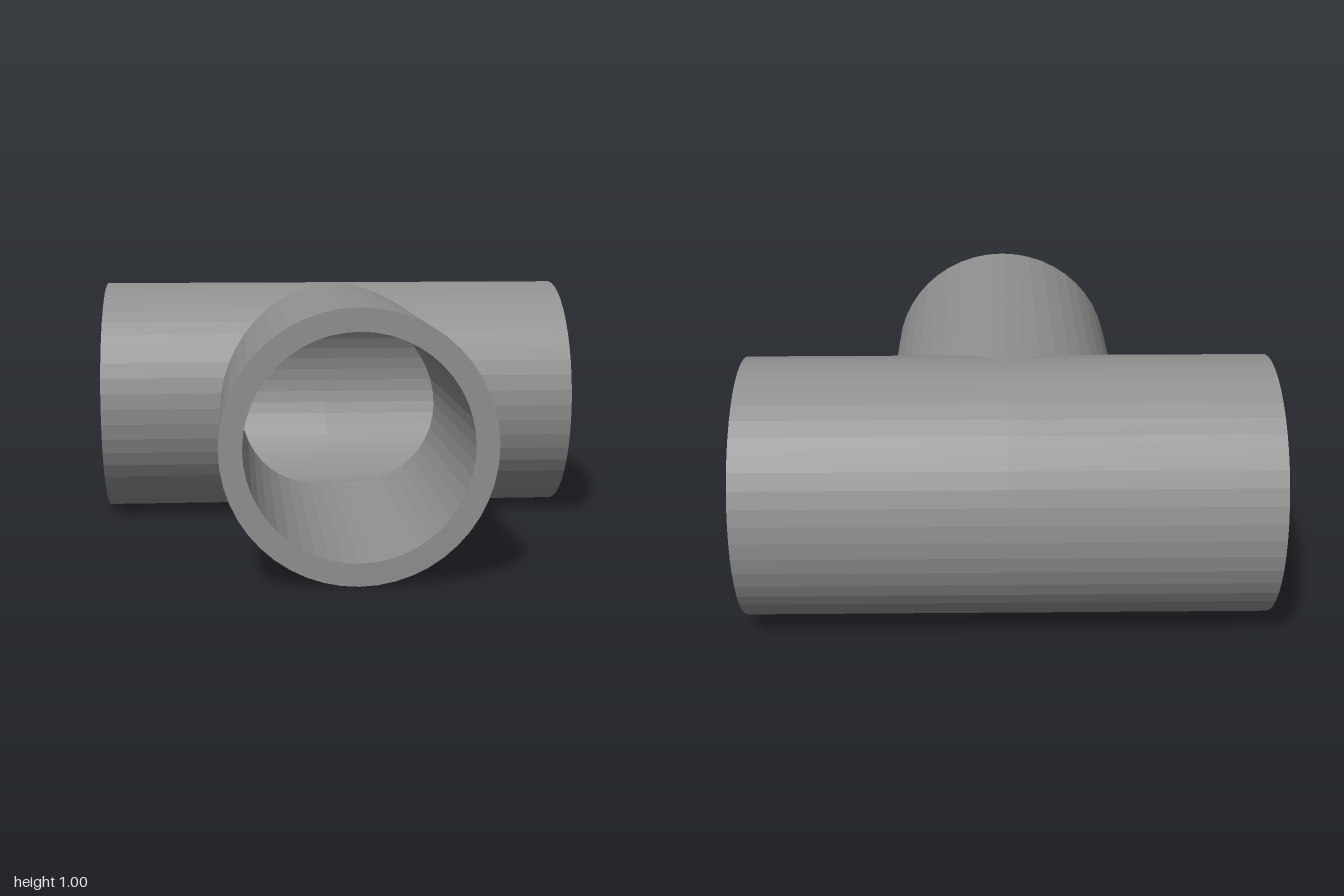
import * as THREE from 'three';

const SIDES = 48;
const OUTER = 0.5, BORE = 0.415, HOLE = 0.085, WALL = 0.085;

// Skin a list of [radius, axial position by angle] sections around local z
function loft(sections) {
  const positions = [], index = [];
  for (const [radius, axial] of sections) {
    for (let i = 0; i < SIDES; i++) {
      const a = (i / SIDES) * Math.PI * 2;
      positions.push(radius * Math.cos(a), radius * Math.sin(a), axial(a));
    }
  }
  for (let j = 0; j < sections.length - 1; j++) {
    for (let i = 0; i < SIDES; i++) {
      const a = j * SIDES + i, b = j * SIDES + (i + 1) % SIDES;
      index.push(a, b, a + SIDES, b, b + SIDES, a + SIDES);
    }
  }
  const geometry = new THREE.BufferGeometry();
  geometry.setAttribute('position', new THREE.Float32BufferAttribute(positions, 3));
  geometry.setIndex(index);
  const flat = geometry.toNonIndexed();
  flat.computeVertexNormals();
  return flat;
}

export function createModel() {
  const group = new THREE.Group();
  group.name = 'teePipe';
  const grey = new THREE.MeshStandardMaterial({ color: 0x909090, flatShading: true });
  grey.name = 'grey';

  const add = (name, geometry, z) => {
    const mesh = new THREE.Mesh(geometry, grey);
    mesh.name = name;
    mesh.position.set(0, 0.5, z);
    group.add(mesh);
  };
  const at = (value) => () => value;

  // Main pipe: two mirrored halves, mitred in front, each closed by a drilled cap
  for (const side of [1, -1]) {
    const mitre = (radius) => (a) => Math.max(0, -side * radius * Math.cos(a));
    const half = loft([
      [OUTER, mitre(OUTER)],
      [OUTER, at(1)],
      [HOLE, at(1)],
      [HOLE, at(1 - WALL)],
      [BORE, at(1 - WALL)],
      [BORE, mitre(BORE)],
    ]);
    half.rotateY(side * Math.PI / 2);
    add(side > 0 ? 'leftMainPipe' : 'rightMainPipe', half, -0.5);
  }

  // Branch pipe: open at the front, its back end cut to meet the main pipe
  const saddle = (radius) => (a) => radius * Math.abs(Math.cos(a));
  add('branchPipe', loft([
    [OUTER, saddle(OUTER)],
    [OUTER, at(1.5)],
    [BORE, at(1.5)],
    [BORE, saddle(BORE)],
  ]), -0.5);

  return group;
}
